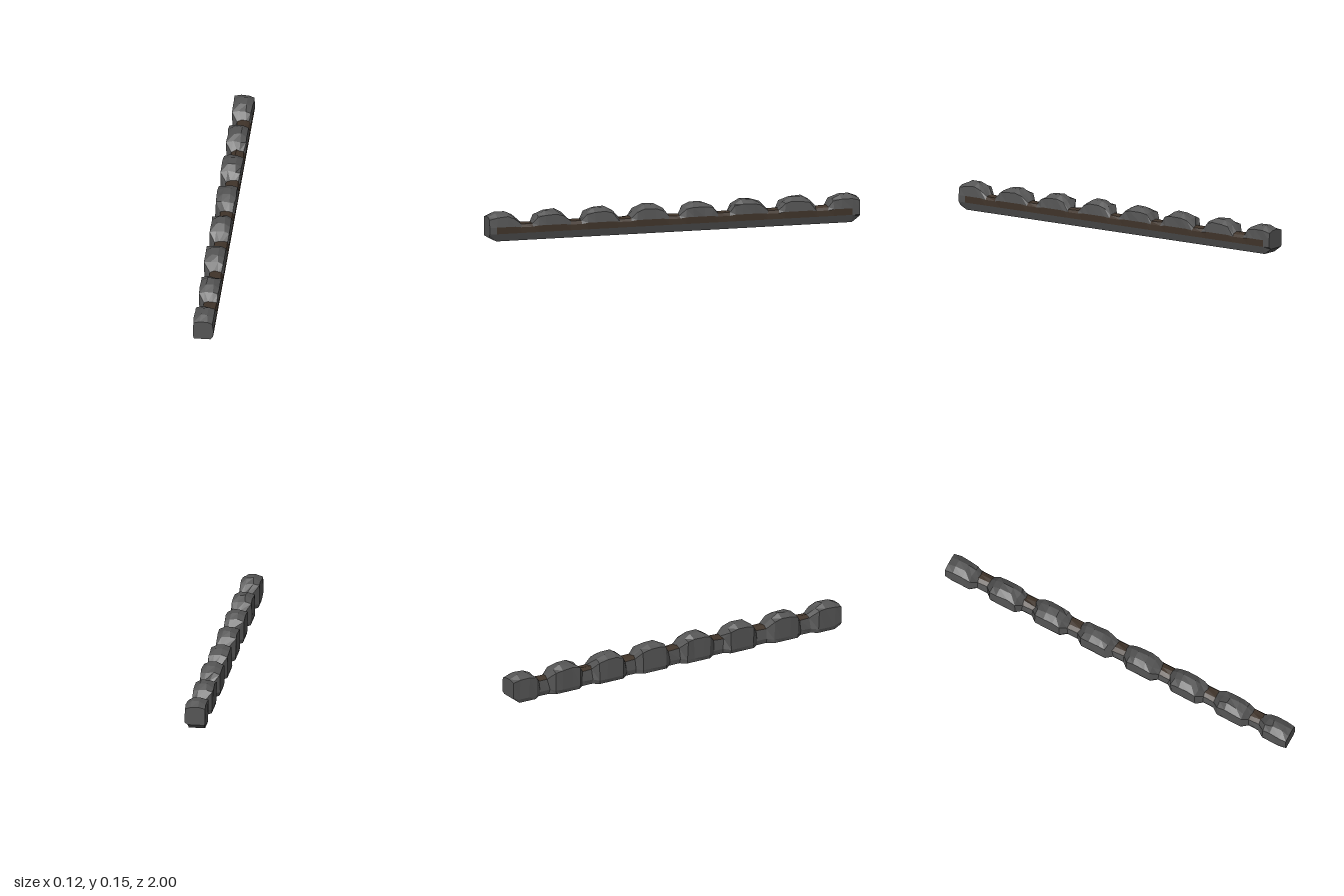
import * as THREE from 'three';

// Cross-sections [x, y], counter-clockwise seen from +z, starting bottom right-hand corner
const NECK = [[-0.025, 0], [0.035, 0], [0.05, 0.04], [0.049, 0.07], [0.042, 0.085], [0.02, 0.09], [0, 0.09], [-0.022, 0.08], [-0.03, 0.025]];
const RIM = [[-0.05, 0], [0.035, 0], [0.05, 0.04], [0.051, 0.075], [0.047, 0.118], [0.02, 0.124], [-0.02, 0.126], [-0.054, 0.118], [-0.053, 0.02]];
const CREST = [[-0.05, 0], [0.035, 0], [0.05, 0.04], [0.051, 0.075], [0.049, 0.127], [0.017, 0.146], [-0.018, 0.146], [-0.054, 0.127], [-0.055, 0.02]];

const BLOCKS = 8;
const END_CENTRE = 0.93;

// Small repeatable noise for the hewn look
function makeNoise(seed) {
  let s = seed;
  return (amount) => {
    s = (s * 16807) % 2147483647;
    return (s / 2147483647 - 0.5) * 2 * amount;
  };
}

function makeMesh(name, positions, color) {
  const geometry = new THREE.BufferGeometry();
  geometry.setAttribute('position', new THREE.Float32BufferAttribute(positions, 3));
  geometry.computeVertexNormals();
  const mesh = new THREE.Mesh(geometry, new THREE.MeshStandardMaterial({ color, flatShading: true }));
  mesh.name = name;
  return mesh;
}

export function createModel() {
  const noise = makeNoise(4711);
  const rings = [];

  // One ring of points; the bar drifts slightly sideways along its length
  const addRing = (section, z, type, end = false) => {
    const points = section.map(([x, y], i) => {
      const onFace = i >= 4 && i <= 7;
      let py = y + (onFace ? noise(0.003) : 0);
      if (end && i < 2) py = z > 0 ? 0.02 : 0.03; // chamfered underside at both ends
      if (end && i === 8) py = 0.035;
      const pz = end ? z : z + (onFace || i === 8 ? noise(0.006) : 0);
      const px = x - 0.005 * z + (onFace || i === 8 ? noise(0.003) : 0);
      return [px, py, pz];
    });
    rings.push({ points, type });
  };

  // Raised blocks separated by narrow necks
  for (let b = 0; b < BLOCKS; b++) {
    const c = -END_CENTRE + (b * 2 * END_CENTRE) / (BLOCKS - 1);
    const first = b === 0;
    const last = b === BLOCKS - 1;
    if (!first) addRing(NECK, c - 0.102, 'neck');
    addRing(RIM, c - 0.07, 'block', first);
    addRing(CREST, c - 0.03, 'block');
    addRing(CREST, c + 0.03, 'block');
    addRing(RIM, c + 0.07, 'block', last);
    if (!last) addRing(NECK, c + 0.102, 'neck');
  }

  // Skin the rings, sorting faces into the three parts
  const body = [];
  const recesses = [];
  const strip = [];
  const n = NECK.length;
  for (let k = 0; k < rings.length - 1; k++) {
    const r0 = rings[k];
    const r1 = rings[k + 1];
    const valley = r0.type === 'neck' && r1.type === 'neck';
    for (let i = 0; i < n; i++) {
      const j = (i + 1) % n;
      const a = r0.points[i], b = r0.points[j], c = r1.points[j], d = r1.points[i];
      const atEnd = k < 1 || k > rings.length - 3;
      let target = body;
      if (i === 2 && !atEnd) target = strip;
      else if (valley && i >= 3 && i <= 6) target = recesses;
      target.push(...a, ...b, ...c, ...a, ...c, ...d);
    }
  }

  // End caps
  const back = rings[0].points;
  const front = rings[rings.length - 1].points;
  for (let i = 1; i < n - 1; i++) {
    body.push(...front[0], ...front[i], ...front[i + 1]);
    body.push(...back[0], ...back[i + 1], ...back[i]);
  }

  const group = new THREE.Group();
  group.name = 'notchedBar';
  group.add(
    makeMesh('toothedBody', body, 0x555555),
    makeMesh('neckTops', recesses, 0x40342a),
    makeMesh('sideStrip', strip, 0x40342a)
  );
  return group;
}
